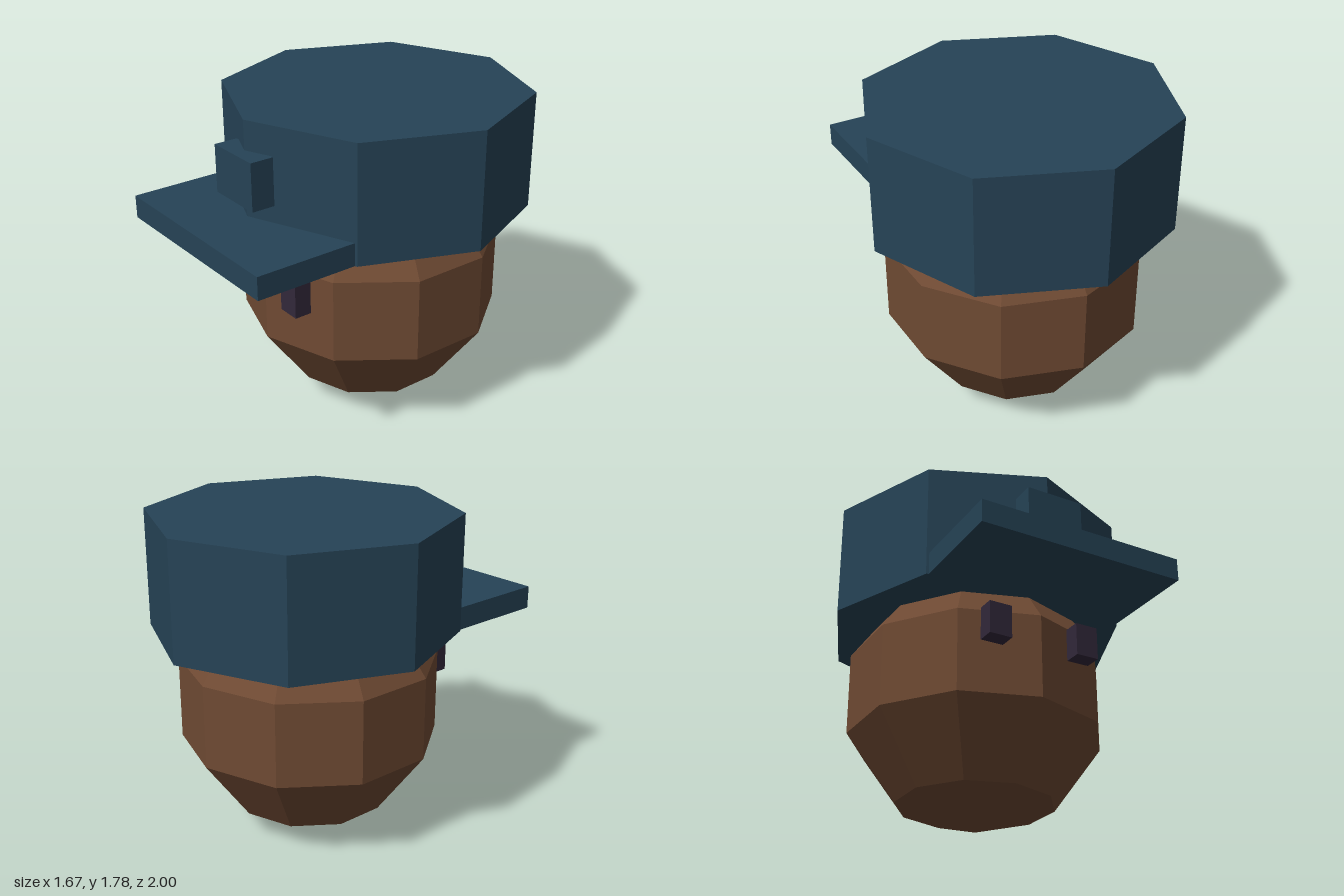
import * as THREE from 'three';

export function createModel() {
  const model = new THREE.Group();
  const material = (name, color) => {
    const m = new THREE.MeshStandardMaterial({ color, flatShading: true });
    m.name = name;
    return m;
  };
  const skin = material('brown skin', 0x6f4a33);
  const cloth = material('navy cloth', 0x264356);
  const dark = material('dark eye', 0x32283a);

  const add = (name, geometry, mat, x, y, z) => {
    const mesh = new THREE.Mesh(geometry, mat);
    mesh.name = name;
    mesh.position.set(x, y, z);
    model.add(mesh);
    return mesh;
  };

  // Faceted head, with a ridge facing forward
  const head = add('head', new THREE.SphereGeometry(0.745, 10, 5), skin, 0, 0.745, -0.127);
  head.rotation.y = Math.PI / 2;

  // Eight-sided cap, brim and front badge
  add('capCrown', new THREE.CylinderGeometry(0.837, 0.837, 0.643, 8), cloth, 0, 1.4565, -0.163);
  add('capBrim', new THREE.BoxGeometry(1.158, 0.125, 0.7), cloth, 0, 1.1975, 0.65);
  add('capBadge', new THREE.BoxGeometry(0.325, 0.26, 0.13), cloth, 0, 1.488, 0.68);

  // Block eyes
  for (const side of [-1, 1]) {
    add(side > 0 ? 'leftEye' : 'rightEye', new THREE.BoxGeometry(0.128, 0.18, 0.095), dark,
      side * 0.258, 0.875, 0.567);
  }
  return model;
}
